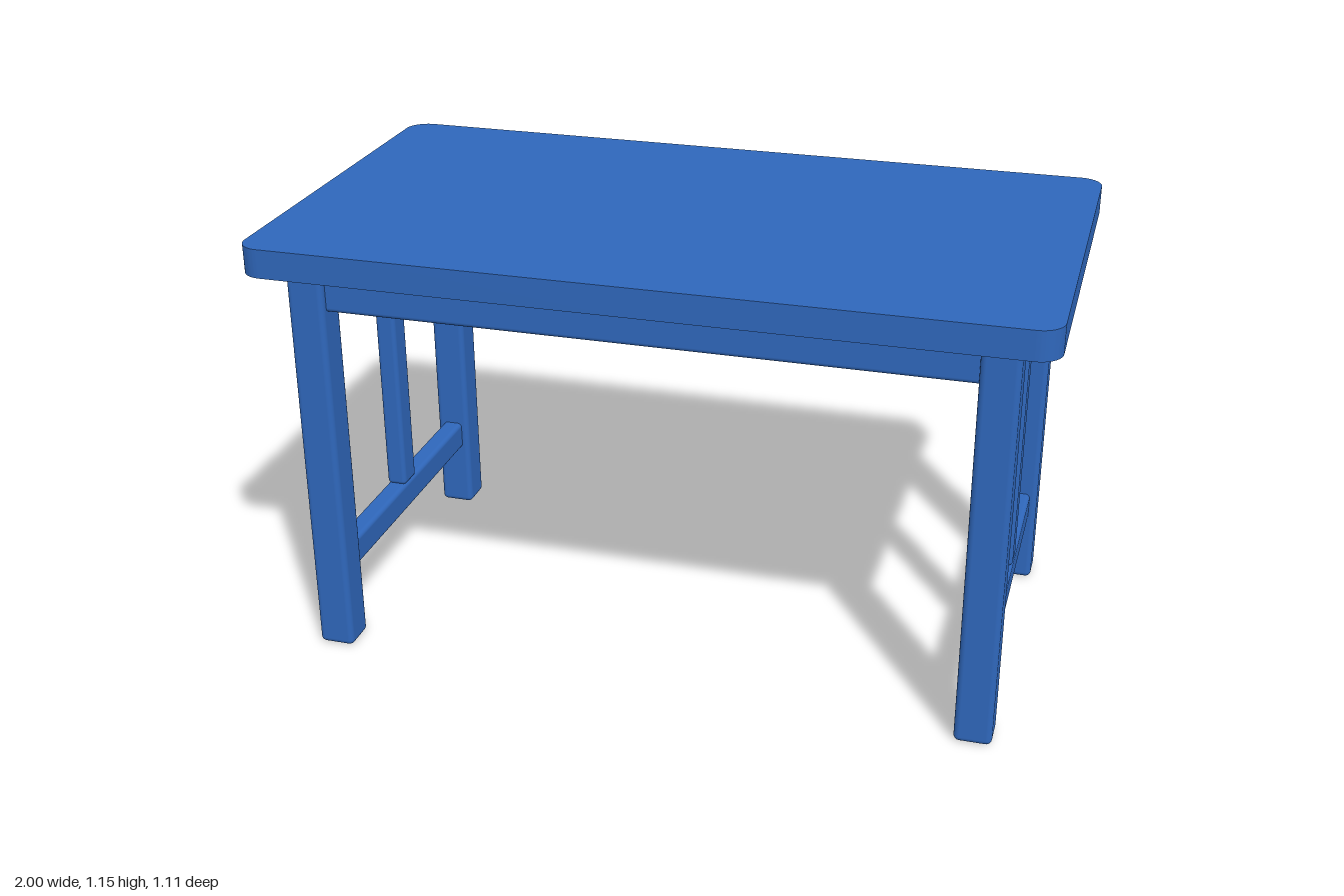
import * as THREE from 'three';
import { toCreasedNormals } from 'three/addons/utils/BufferGeometryUtils.js';
import { RoundedBoxGeometry } from 'three/addons/geometries/RoundedBoxGeometry.js';

const blue = new THREE.MeshStandardMaterial({ name: 'blue paint', color: 0x2f67bb });

// Softly rounded bar given by its centre and size
function bar(name, [x, y, z], [w, h, d], radius = 0.012) {
  const mesh = new THREE.Mesh(new RoundedBoxGeometry(w, h, d, 3, radius), blue);
  mesh.name = name;
  mesh.position.set(x, y, z);
  return mesh;
}

// Flat slab with rounded corners in plan
function tableTop(halfX, halfZ, radius, bottom, thickness) {
  const s = new THREE.Shape();
  s.absarc(halfX - radius, halfZ - radius, radius, 0, Math.PI / 2);
  s.absarc(-halfX + radius, halfZ - radius, radius, Math.PI / 2, Math.PI);
  s.absarc(-halfX + radius, -halfZ + radius, radius, Math.PI, Math.PI * 1.5);
  s.absarc(halfX - radius, -halfZ + radius, radius, Math.PI * 1.5, Math.PI * 2);
  s.closePath();
  const slab = new THREE.ExtrudeGeometry(s, { depth: thickness, bevelEnabled: false, curveSegments: 10 });
  slab.rotateX(-Math.PI / 2);
  const mesh = new THREE.Mesh(toCreasedNormals(slab, 0.6), blue);
  mesh.name = 'tableTop';
  mesh.position.y = bottom;
  return mesh;
}

export function createModel() {
  const table = new THREE.Group();
  table.name = 'table';
  const legX = 0.862, legZ = 0.432, leg = 0.096, underside = 1.08;

  table.add(tableTop(1, 0.555, 0.06, underside, 0.075));

  for (const side of [1, -1]) {
    const sideName = side > 0 ? 'left' : 'right';

    // Legs and the long apron
    for (const end of [1, -1]) {
      const endName = end > 0 ? 'Front' : 'Back';
      table.add(bar(`${sideName}${endName}Leg`, [side * legX, underside / 2, end * legZ], [leg, underside, leg], 0.015));
    }
    table.add(bar(side > 0 ? 'frontApron' : 'backApron',
      [0, 1.024, side * legZ], [2 * legX - leg + 0.03, 0.114, 0.056]));

    // End frame: apron, low stretcher and centre post
    const span = 2 * legZ - leg + 0.03;
    table.add(bar(`${sideName}Apron`, [side * legX, 1.024, 0], [0.056, 0.114, span]));
    table.add(bar(`${sideName}Stretcher`, [side * legX, 0.229, 0], [0.056, 0.08, span]));
    table.add(bar(`${sideName}Post`, [side * legX, 0.619, 0], [0.056, 0.706, 0.075]));
  }
  return table;
}
